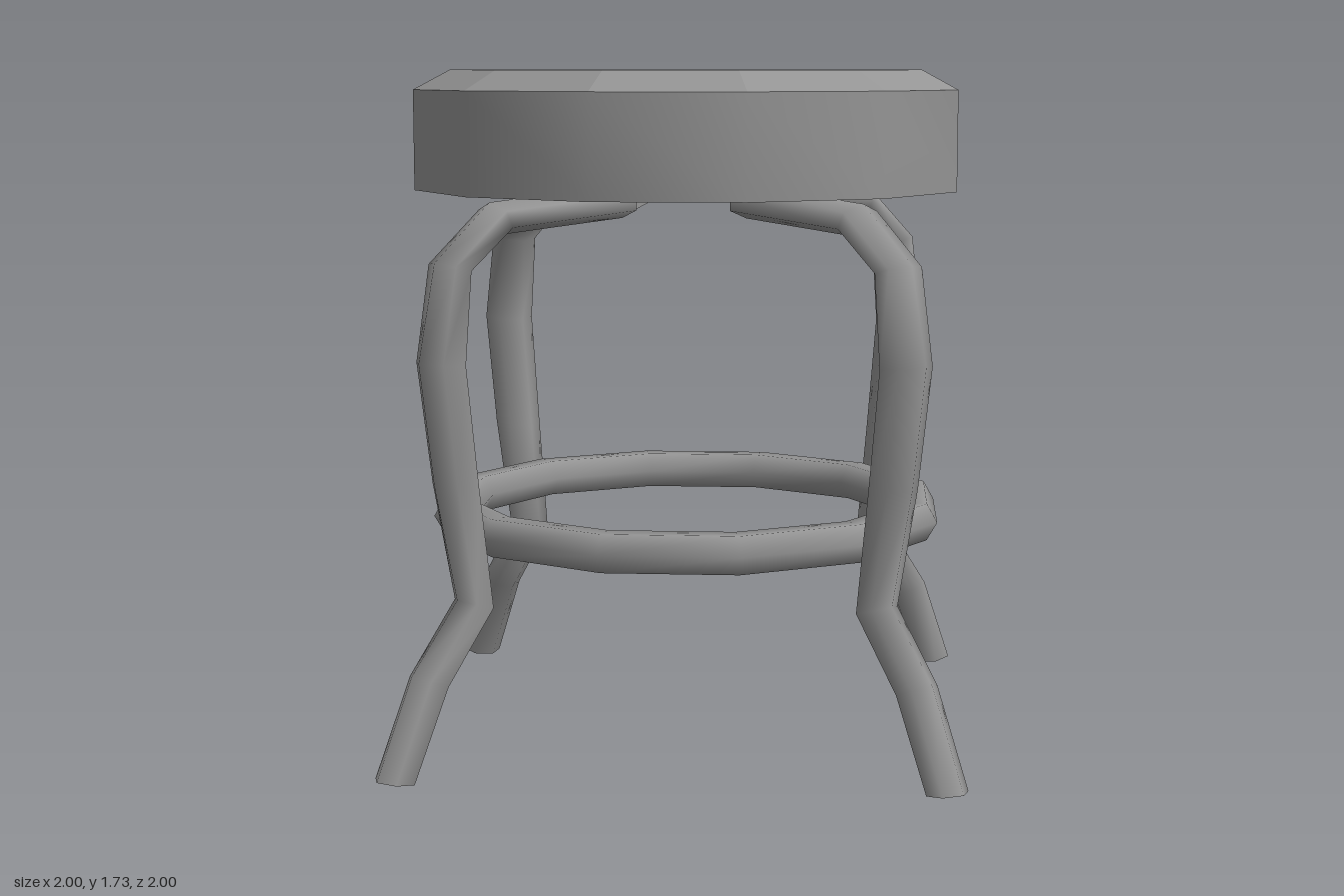
import * as THREE from 'three';
import { toCreasedNormals } from 'three/addons/utils/BufferGeometryUtils.js';

const material = new THREE.MeshStandardMaterial({ color: 0x949494 });
const SIDES = 6;

// Leg cross-sections from foot to seat: outer x, y, inner x, y, half width
const LEG = [
  [1.0, 0.02, 0.893, 0.005, 0.045],
  [0.893, 0.265, 0.79, 0.225, 0.045],
  [0.755, 0.435, 0.652, 0.405, 0.046],
  [0.818, 0.73, 0.69, 0.715, 0.053],
  [0.858, 1.03, 0.727, 1.02, 0.057],
  [0.808, 1.27, 0.717, 1.245, 0.057],
  [0.643, 1.41, 0.604, 1.33, 0.057],
  [0.225, 1.44, 0.225, 1.355, 0.057],
];

// Bent six-sided tube lofted through the sections, with closed ends
function legGeometry() {
  const positions = [];
  const index = [];
  const addLoop = ([ox, oy, ix, iy, w]) => {
    const start = positions.length / 3;
    for (let j = 0; j < SIDES; j++) {
      const a = (j / SIDES) * Math.PI * 2;
      const c = Math.cos(a) / 2;
      positions.push(
        (ox + ix) / 2 + (ox - ix) * c,
        (oy + iy) / 2 + (oy - iy) * c,
        (-w * Math.sin(a)) / Math.sin(Math.PI / 3),
      );
    }
    return start;
  };
  const loops = LEG.map(addLoop);
  for (let i = 0; i < loops.length - 1; i++) {
    for (let j = 0; j < SIDES; j++) {
      const k = (j + 1) % SIDES;
      const a = loops[i] + j, b = loops[i] + k;
      const c = loops[i + 1] + k, d = loops[i + 1] + j;
      index.push(a, b, c, a, c, d);
    }
  }
  // End caps have their own vertices so their rims stay sharp
  const foot = addLoop(LEG[0]);
  const end = addLoop(LEG[LEG.length - 1]);
  for (let j = 1; j < SIDES - 1; j++) {
    index.push(foot, foot + j + 1, foot + j);
    index.push(end, end + j, end + j + 1);
  }
  const geometry = new THREE.BufferGeometry();
  geometry.setAttribute('position', new THREE.Float32BufferAttribute(positions, 3));
  geometry.setIndex(index);
  geometry.computeVertexNormals();
  return geometry;
}

// Twelve-sided turned shape, creased where faces meet at more than the angle
function turned(profile, crease) {
  const points = profile.map(([r, y]) => new THREE.Vector2(r, y));
  return toCreasedNormals(new THREE.LatheGeometry(points, 12), crease);
}

export function createModel() {
  const group = new THREE.Group();
  const add = (name, geometry) => {
    const mesh = new THREE.Mesh(geometry, material);
    mesh.name = name;
    group.add(mesh);
    return mesh;
  };

  // Cushion: smooth side wall, then a faceted bevel and a flat top
  add('seatSide', turned([[0, 1.425], [0.714, 1.425], [0.714, 1.68]], 0.56));
  add('seatTop', turned([[0.714, 1.68], [0.62, 1.73], [0, 1.73]], 0.1));

  // Footrest ring just inside the legs
  const ring = add('footRing', new THREE.TorusGeometry(0.621, 0.055, SIDES, 12));
  ring.rotation.x = Math.PI / 2;
  ring.position.y = 0.577;

  // Four legs, a quarter turn apart
  const leg = legGeometry();
  ['leftLeg', 'backLeg', 'rightLeg', 'frontLeg'].forEach((name, i) => {
    add(name, leg).rotation.y = (i * Math.PI) / 2;
  });

  return group;
}
